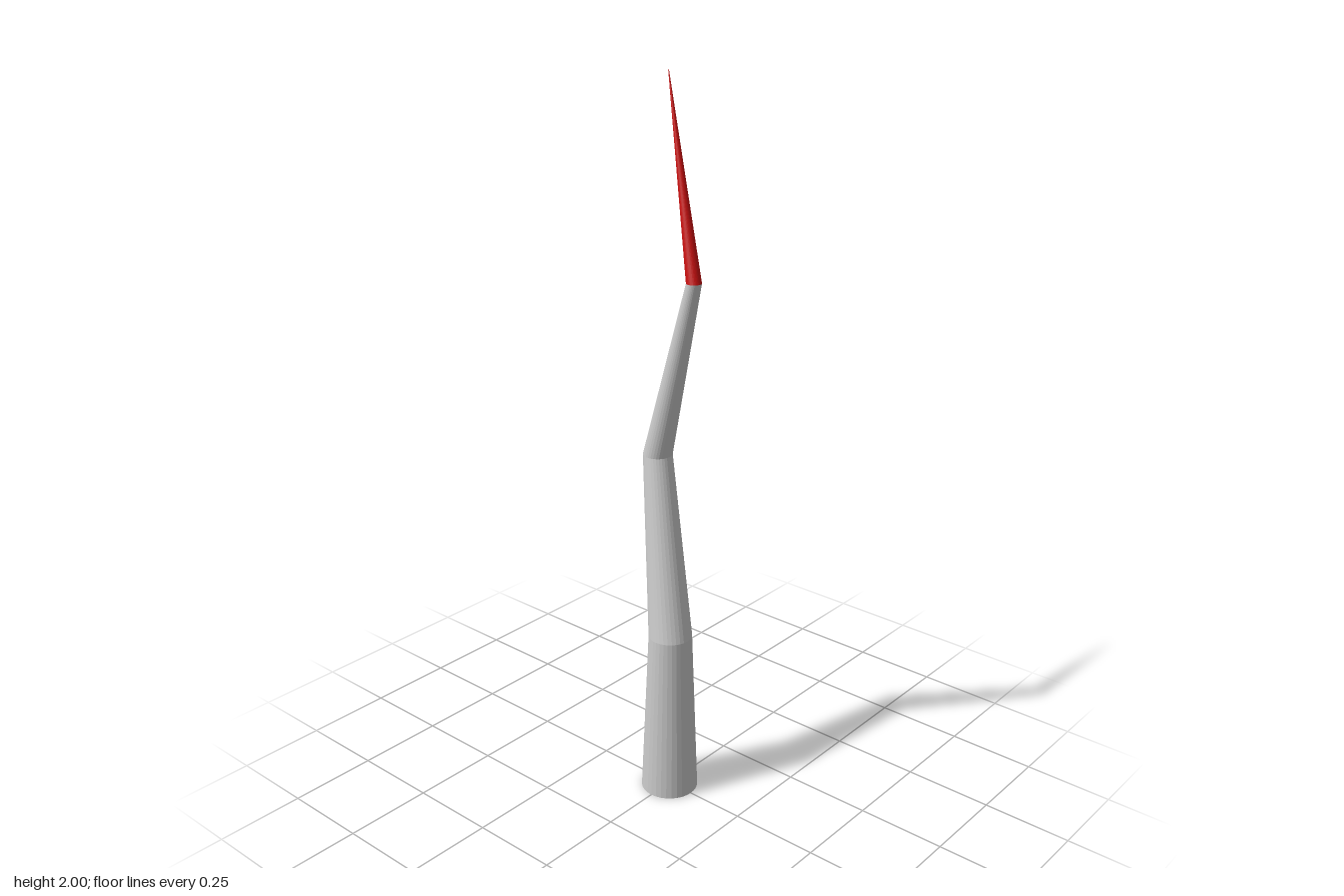
import * as THREE from 'three';

// Horizontal discs the tapering spike is lofted through: x, y, z, radius
const discs = [
  [0, 0, 0, 0.08],
  [0.02, 0.5, 0.02, 0.06],
  [-0.064, 1, -0.026, 0.04],
  [0.082, 1.5, 0.003, 0.02],
  [-0.043, 2, -0.046, 0.001],
];
const names = ['base', 'lowerShaft', 'upperShaft', 'tip'];

// Tapered cylinder with level ends, sheared so its axis runs from disc a to disc b
function leaningSegment(a, b) {
  const [ax, ay, az, ar] = a;
  const [bx, by, bz, br] = b;
  const h = by - ay;
  const shear = new THREE.Matrix4().set(
    1, (bx - ax) / h, 0, (ax + bx) / 2,
    0, 1, 0, (ay + by) / 2,
    0, (bz - az) / h, 1, (az + bz) / 2,
    0, 0, 0, 1,
  );
  return new THREE.CylinderGeometry(br, ar, h, 32).applyMatrix4(shear);
}

export function createModel() {
  const group = new THREE.Group();
  group.name = 'crookedSpike';
  const grey = new THREE.MeshStandardMaterial({ color: 0xcccccc, flatShading: true });
  const red = new THREE.MeshStandardMaterial({ color: 0xcc1010, flatShading: true });

  names.forEach((name, i) => {
    const material = name === 'tip' ? red : grey;
    const mesh = new THREE.Mesh(leaningSegment(discs[i], discs[i + 1]), material);
    mesh.name = name;
    group.add(mesh);
  });
  return group;
}
